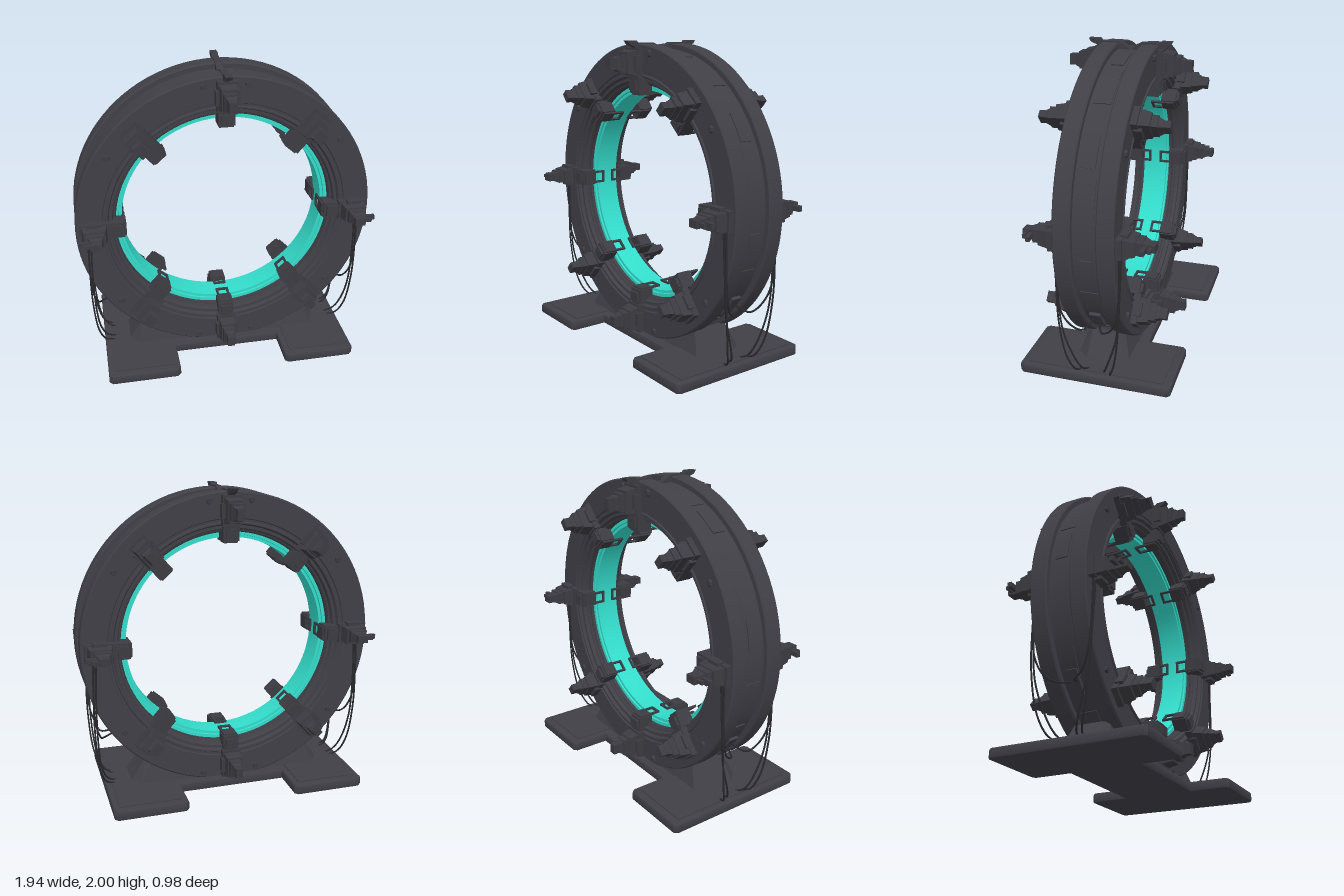
import * as THREE from 'three';
import { toCreasedNormals } from 'three/addons/utils/BufferGeometryUtils.js';
import { ConvexGeometry } from 'three/addons/geometries/ConvexGeometry.js';

const CENTRE_Y = 1.01;

function material(name, color) {
  const m = new THREE.MeshStandardMaterial({ color });
  m.name = name;
  return m;
}

export function createModel() {
  const frame = material('charcoal frame', 0x403f46);
  const metal = material('dark clamp metal', 0x3b3b41);
  const rubber = material('black cable', 0x2a2a2e);
  const glow = material('turquoise lining', 0x33dccb);

  const model = new THREE.Group();
  model.name = 'ringGate';

  function add(parent, name, geometry, mat, x = 0, y = 0, z = 0) {
    const mesh = new THREE.Mesh(geometry, mat);
    mesh.name = name;
    mesh.position.set(x, y, z);
    parent.add(mesh);
    return mesh;
  }
  const box = (parent, name, [w, h, d], [x, y, z], mat = metal) =>
    add(parent, name, new THREE.BoxGeometry(w, h, d), mat, x, y, z);

  // Revolve a [radius, z] profile about the z axis
  function revolve(profile, segments = 96) {
    const points = profile.map(([r, z]) => new THREE.Vector2(r, z));
    const geometry = new THREE.LatheGeometry(points, segments).rotateX(Math.PI / 2);
    return toCreasedNormals(geometry, 0.45);
  }

  const ring = new THREE.Group();
  ring.name = 'ring';
  ring.position.y = CENTRE_Y;
  model.add(ring);

  // Stepped ring body: two outer rims, a channel between them, an inner throat
  const halfOuter = [[0.93, 0], [0.93, 0.075], [0.96, 0.075], [0.968, 0.083], [0.968, 0.177], [0.96, 0.185]];
  const halfInner = [[0.8, 0.185], [0.795, 0.176], [0.78, 0.176], [0.775, 0.185], [0.765, 0.185],
    [0.755, 0.165], [0.735, 0.165], [0.728, 0.14], [0.715, 0.135], [0.71, 0.11], [0.71, 0]];
  const half = [...halfOuter, ...halfInner];
  const mirrored = half.slice(1, -1).map(([r, z]) => [r, -z]).reverse();
  add(ring, 'ringBody', revolve([...half, ...mirrored, half[0]]), frame);

  // Glowing lining: a stepped band with flat faces to the front and back
  const lining = [[0.713, 0.092], [0.688, 0.092], [0.686, 0.08], [0.667, 0.08], [0.665, 0.02]];
  add(ring, 'glowLining', revolve([...lining, ...lining.map(([r, z]) => [r, -z]).reverse()]), glow);

  // Thin trim just outside the lining, one on each side
  for (const side of [1, -1]) {
    add(ring, 'liningTrim', new THREE.TorusGeometry(0.714, 0.007, 6, 96), metal, 0, 0, side * 0.12);
  }

  // Raised curved panels in the outer channel
  function arcPanel(name, angle, span, outer, depth) {
    const shape = new THREE.Shape();
    shape.absarc(0, 0, outer, angle - span / 2, angle + span / 2, false);
    shape.absarc(0, 0, 0.92, angle + span / 2, angle - span / 2, true);
    const geometry = new THREE.ExtrudeGeometry(shape, { depth, bevelEnabled: false, curveSegments: 10 });
    add(ring, name, geometry, frame, 0, 0, -depth / 2);
  }
  for (let i = 0; i < 8; i++) {
    const angle = (i + 0.5) * Math.PI / 4;
    arcPanel('channelPanel', angle - 0.13, 0.3, 0.935, 0.11);
    arcPanel('channelPanel', angle + 0.18, 0.2, 0.938, 0.08);
  }
  for (const angle of [-0.69, Math.PI + 0.69]) arcPanel('cableSocket', angle, 0.17, 0.955, 0.07);

  // Hexagonal bolts on both faces
  const boltSpots = [[0.137, 0.91], [0.74, 0.5], [0.71, -0.55], [0.185, -0.905]];
  for (const [x, y] of boltSpots) for (const sx of [1, -1]) for (const sz of [1, -1]) {
    const geometry = new THREE.CylinderGeometry(0.02, 0.024, 0.02, 6).rotateX(sz * Math.PI / 2);
    add(ring, 'bolt', toCreasedNormals(geometry, 0.3), metal, sx * x, y, sz * 0.191);
  }

  // Block tapering along z from the size at its foot to a scaled outer face
  function taper(parent, name, [w, h, d], [x, y, z], scale) {
    const geometry = new THREE.CylinderGeometry(scale * Math.SQRT1_2, Math.SQRT1_2, 1, 4, 1);
    geometry.rotateY(Math.PI / 4).rotateX(Math.PI / 2).scale(w, h, d);
    add(parent, name, toCreasedNormals(geometry, 0.2), metal, x, y, z);
  }

  // Clamp in local axes: x along the rim, y outward from the centre, z away from the face
  function buildClamp(atSide) {
    const clamp = new THREE.Group();
    clamp.name = 'clamp';
    box(clamp, 'mountPlate', [0.125, 0.19, 0.045], [0, 0.85, 0.2]);
    taper(clamp, 'body', [0.11, 0.16, 0.07], [0, 0.85, 0.255], 0.85);
    box(clamp, 'housing', [0.08, 0.11, 0.05], [0, 0.848, 0.305]);
    taper(clamp, 'tipCollar', [0.07, 0.095, 0.03], [0, 0.845, 0.343], 0.75);
    box(clamp, 'tip', [0.048, 0.068, 0.06], [0, 0.845, 0.37]);
    for (const sx of [1, -1]) {
      box(clamp, 'sideLatch', [0.02, 0.09, 0.05], [sx * 0.064, 0.85, 0.22]);
      box(clamp, 'neckRail', [0.018, 0.09, 0.03], [sx * 0.035, 0.755, 0.195]);
      box(clamp, 'loopArm', [0.014, 0.014, 0.075], [sx * 0.036, 0.654, 0.075]);
    }
    box(clamp, 'neck', [0.05, 0.06, 0.03], [0, 0.765, 0.2]);
    box(clamp, 'jaw', [0.105, 0.095, 0.1], [0, 0.705, 0.155]);
    box(clamp, 'jawLip', [0.09, 0.03, 0.085], [0, 0.66, 0.15]);
    box(clamp, 'jawCap', [0.075, 0.06, 0.02], [0, 0.705, 0.212]);
    box(clamp, 'loopBar', [0.086, 0.014, 0.014], [0, 0.654, 0.04]);
    if (atSide) {
      box(clamp, 'prong', [0.03, 0.08, 0.025], [0, 0.915, 0.34]);
      box(clamp, 'prong', [0.022, 0.06, 0.018], [0, 0.895, 0.375]);
    }
    return clamp;
  }
  // Diagonal clamps lean towards the vertical and sit a little further in
  const diagonal = 0.725;
  const spokes = [0, diagonal, Math.PI / 2, Math.PI - diagonal, Math.PI, Math.PI + diagonal, -Math.PI / 2, -diagonal];
  spokes.forEach((angle, i) => {
    for (const back of [0, 1]) {
      const spoke = new THREE.Group();
      spoke.name = back ? 'backClampSpoke' : 'frontClampSpoke';
      spoke.rotation.z = angle;
      const clamp = buildClamp(i % 4 === 2);
      clamp.rotation.y = back * Math.PI;
      clamp.position.y = i % 2 ? -0.03 : 0;
      spoke.add(clamp);
      ring.add(spoke);
    }
  });

  // Notched strap across the crown with flared ends
  const strapHalf = [[0, 0.925], [0.03, 0.955], [0.07, 0.975], [0.19, 0.975], [0.2, 0.988],
    [0.27, 0.988], [0.255, 0.965], [0.215, 0.95], [0.19, 0.92], [0.185, 0.9]];
  const strapPoints = [...strapHalf, ...strapHalf.slice(1).map(([z, y]) => [-z, y]).reverse()];
  const strapShape = new THREE.Shape(strapPoints.map(([z, y]) => new THREE.Vector2(z, y)));
  const strapGeometry = new THREE.ExtrudeGeometry(strapShape, { depth: 0.044, bevelEnabled: false });
  strapGeometry.translate(0, 0, -0.022).rotateY(Math.PI / 2);
  add(ring, 'crownStrap', strapGeometry, metal);

  // Base plate: two broad feet joined by a narrower bridge, with cut corners
  const c = 0.015;
  const quarter = [[0.372, 0.223], [0.372, 0.48 - c], [0.372 + c, 0.48], [0.828 - c, 0.48], [0.828, 0.48 - c]];
  const flip = (list, sx, sy) => list.map(([x, y]) => [x * sx, y * sy]);
  const outline = [
    ...quarter, ...flip(quarter, 1, -1).reverse(),
    ...flip(quarter, -1, -1), ...flip(quarter, -1, 1).reverse(),
  ].map(([x, y]) => new THREE.Vector2(x, y));
  const baseGeometry = new THREE.ExtrudeGeometry(new THREE.Shape(outline), {
    depth: 0.041, bevelThickness: 0.012, bevelSize: 0.012, bevelSegments: 2,
  });
  baseGeometry.rotateX(-Math.PI / 2).translate(0, 0.012, 0);
  add(model, 'basePlate', toCreasedNormals(baseGeometry, 0.5), frame);
  for (const sx of [1, -1]) {
    box(model, 'footPad', [0.4, 0.01, 0.88], [sx * 0.6, 0.066, 0], frame);
    // Sloped cradle under the ring, tapering upward
    const points = [];
    for (const sz of [1, -1]) {
      points.push(new THREE.Vector3(sx * 0.67, 0.06, sz * 0.1), new THREE.Vector3(sx * 0.61, 0.06, sz * 0.17),
        new THREE.Vector3(sx * 0.57, 0.215, sz * 0.09), new THREE.Vector3(sx * 0.53, 0.215, sz * 0.12),
        new THREE.Vector3(sx * 0.25, 0.06, sz * 0.17));
    }
    add(model, 'cradle', new ConvexGeometry(points), frame);
  }

  // Drooping cables from the side clamps to the base and the socket
  const cablePaths = [
    [[0.885, 0.97, 0.2], [0.9, 0.75, 0.194], [0.9, 0.45, 0.185], [0.875, 0.2, 0.15], [0.83, 0.09, 0.11], [0.77, 0.065, 0.09]],
    [[0.875, 0.97, 0.2], [0.885, 0.7, 0.193], [0.882, 0.4, 0.17], [0.86, 0.2, 0.11], [0.82, 0.1, 0.07], [0.76, 0.065, 0.05]],
    [[0.895, 0.97, 0.194], [0.9, 0.7, 0.192], [0.89, 0.52, 0.17], [0.86, 0.42, 0.12], [0.835, 0.385, 0.06], [0.74, 0.41, 0.02]],
  ];
  for (const path of cablePaths) for (const sx of [1, -1]) for (const sz of [1, -1]) {
    const curve = new THREE.CatmullRomCurve3(path.map(([x, y, z]) => new THREE.Vector3(sx * x, y, sz * z)));
    add(model, 'cable', new THREE.TubeGeometry(curve, 32, 0.006, 6), rubber);
  }

  return model;
}
